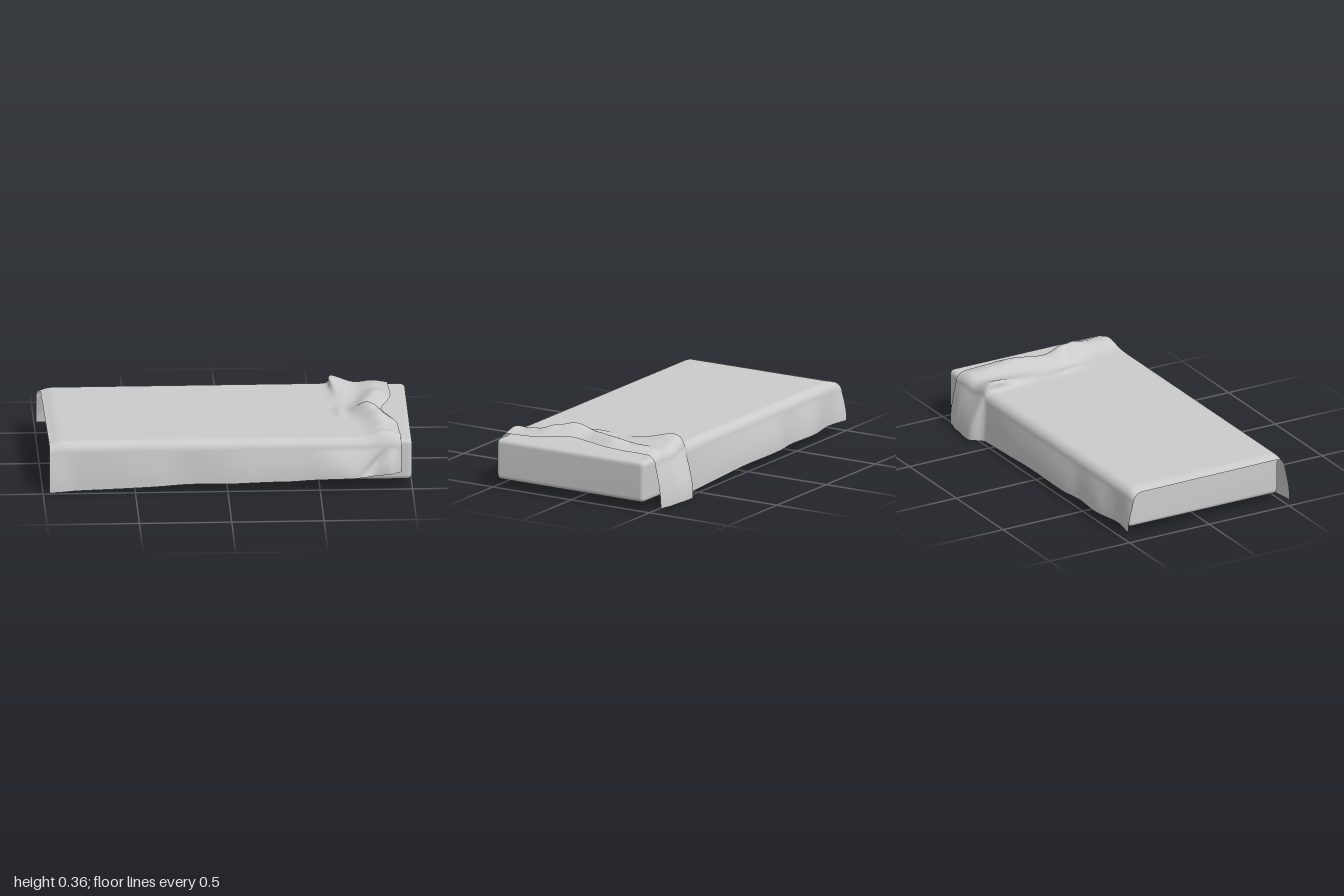
import * as THREE from 'three';
import { RoundedBoxGeometry } from 'three/addons/geometries/RoundedBoxGeometry.js';
import { mergeVertices } from 'three/addons/utils/BufferGeometryUtils.js';

// smooth interpolation through [position, value] pairs
function curve(points) {
  return (t) => {
    if (t <= points[0][0]) return points[0][1];
    for (let i = 1; i < points.length; i++) {
      const [a, va] = points[i - 1], [b, vb] = points[i];
      if (t <= b) return va + (vb - va) * THREE.MathUtils.smoothstep(t, a, b);
    }
    return points[points.length - 1][1];
  };
}
const bump = (d, width) => Math.exp(-(d * d) / (width * width));

// outlines of the cloth: ends along z, hems and side swing along x
const leftEnd = curve([[-0.5, -1], [-0.4, -0.975], [0, -0.97], [0.5, -0.965]]);
const rightEnd = curve([[-0.5, 0.9], [-0.2, 0.91], [0.05, 0.85], [0.3, 0.93], [0.5, 0.94]]);
const backHem = curve([[-1, 0.06], [-0.1, 0.045], [0.9, 0]]);
const frontHem = curve([[-0.96, 0.015], [-0.1, 0.045], [0.3, 0.055], [0.7, 0.08], [0.94, 0.1]]);
const backSwing = curve([[-1, 0.505], [-0.85, 0.485], [-0.65, 0.51], [-0.45, 0.495], [-0.3, 0.51],
  [0.2, 0.5], [0.56, 0.49], [0.66, 0.55], [0.8, 0.53], [0.9, 0.51]]);
const frontSwing = curve([[-0.96, 0.525], [-0.8, 0.505], [-0.4, 0.515], [-0.2, 0.5], [0.1, 0.515],
  [0.4, 0.515], [0.66, 0.55], [0.8, 0.53], [0.88, 0.54], [0.94, 0.51]]);
// height of the crumpled roll near the right end, along z
const rollHeight = curve([[-0.5, 0.012], [-0.3, 0.028], [-0.15, 0.048], [0, 0.047], [0.12, 0.08],
  [0.2, 0.066], [0.32, 0.035], [0.4, 0.027], [0.45, 0.032], [0.5, 0.01]]);

const TOP = 0.285, FLAT = 0.43, R = 0.055, CENTRE = 0.01;

// one point of the draped cloth: u runs along x, w (-1..1) across from back to front
function clothPoint(u, w) {
  const side = Math.sign(w) || 1, a = Math.abs(w);
  let z, y = TOP, drop = 0;
  if (a < 0.6) {
    z = (a / 0.6) * FLAT;
  } else {
    const angle = Math.min(1, (a - 0.6) / 0.15) * Math.PI / 2;
    z = FLAT + R * Math.sin(angle);
    y = TOP - R * (1 - Math.cos(angle));
    drop = Math.max(0, (a - 0.75) / 0.25);
  }
  const zTop = side * z + CENTRE;
  const xL = leftEnd(zTop), xR = rightEnd(zTop);
  let x = xL + (xR - xL) * u;
  let zOut = zTop;

  // hanging sides
  if (drop > 0) {
    const hem = side > 0 ? frontHem(x) : backHem(x);
    const swing = side > 0 ? frontSwing(x) : -backSwing(x);
    y = THREE.MathUtils.lerp(y, hem, drop);
    zOut = THREE.MathUtils.lerp(zTop, swing, Math.sin(drop * Math.PI / 2));
    if (side > 0) { // diagonal crease at the front corner
      zOut -= 0.02 * bump(x - 0.8 - (y - 0.15) * 0.9, 0.03) * Math.sin(drop * Math.PI);
    }
  }

  // crumpled roll and small wrinkles on top
  const upper = 1 - drop;
  y += upper * rollHeight(zTop) * bump(x - xR + 0.085, 0.075);
  y += 0.012 * bump(x - 0.62 - zTop * zTop, 0.025) * bump(zTop - 0.06, 0.09);

  // fold leaning over towards the left near the back
  const reach = bump(zTop + 0.4, 0.12) * (0.35 + 0.65 * upper) + 0.25 * bump(zTop + 0.22, 0.1);
  const ridge = bump(x - 0.65, 0.05) * reach;
  y += 0.05 * ridge * upper;
  x -= 0.055 * ridge;

  // slight droop at the left end
  y -= 0.015 * upper * bump(x - xL, 0.035);
  return [x, Math.max(0, y), zOut];
}

function clothGeometry(nu, nw) {
  const positions = [], index = [];
  for (let i = 0; i <= nu; i++) {
    const u = 1 - Math.pow(1 - i / nu, 1.6); // denser towards the folds
    for (let j = 0; j <= nw; j++) positions.push(...clothPoint(u, -1 + 2 * j / nw));
  }
  for (let i = 0; i < nu; i++) {
    for (let j = 0; j < nw; j++) {
      const a = i * (nw + 1) + j, b = a + nw + 1;
      index.push(a, a + 1, b, b, a + 1, b + 1);
    }
  }
  const geometry = new THREE.BufferGeometry();
  geometry.setAttribute('position', new THREE.Float32BufferAttribute(positions, 3));
  geometry.setIndex(index);
  geometry.computeVertexNormals();
  return geometry;
}

export function createModel() {
  const group = new THREE.Group();
  group.name = 'mattressWithSheet';

  // mattress block with softly shaded, narrow bevels
  let block = new RoundedBoxGeometry(1.92, 0.23, 0.945, 2, 0.028);
  block.deleteAttribute('normal');
  block.deleteAttribute('uv');
  block = mergeVertices(block, 1e-4);
  block.computeVertexNormals();
  const mattress = new THREE.Mesh(block, new THREE.MeshStandardMaterial({ color: 0xcccccc }));
  mattress.name = 'mattress';
  mattress.position.set(0.04, 0.16, 0.01);
  group.add(mattress);

  // thin sheet draped over the mattress
  const sheet = new THREE.Mesh(
    clothGeometry(180, 120),
    new THREE.MeshStandardMaterial({ color: 0xcccccc, side: THREE.DoubleSide })
  );
  sheet.name = 'sheet';
  group.add(sheet);
  return group;
}
